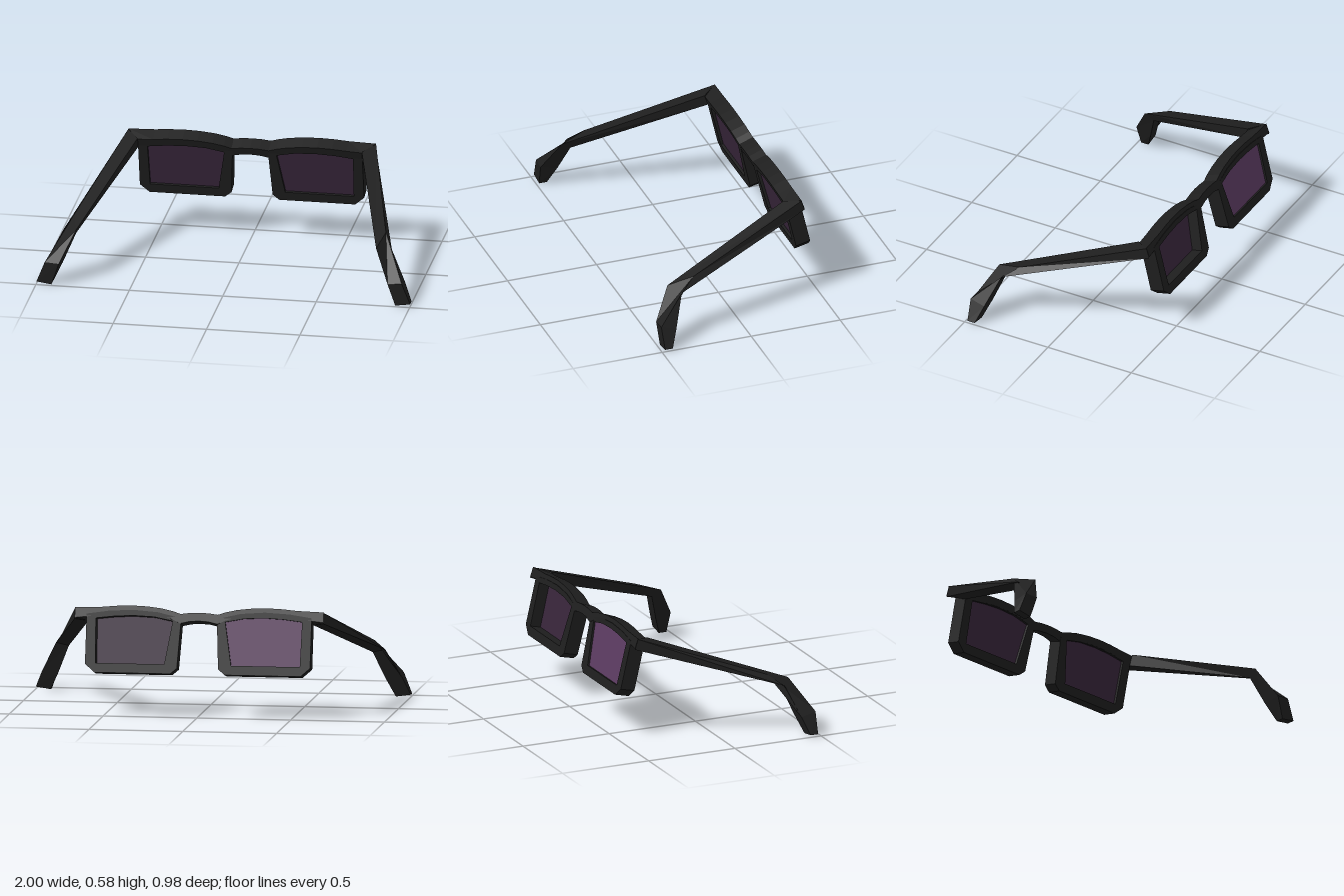
import * as THREE from 'three';

function flatColour(name, color) {
  const material = new THREE.MeshStandardMaterial({ color });
  material.name = name;
  return material;
}
const frameMat = flatColour('black frame', 0x1e1e1e);
const innerLensMat = flatColour('dark purple lens', 0x37253a);
const outerLensMat = flatColour('purple lens', 0x5b3b60);

// Joins four-cornered sections into a closed, faceted solid
function loft(sections) {
  const pos = [];
  const tri = (a, b, c) => pos.push(...a, ...b, ...c);
  for (let i = 0; i < sections.length - 1; i++) {
    const a = sections[i], b = sections[i + 1];
    for (let j = 0; j < 4; j++) {
      const k = (j + 1) % 4;
      tri(a[j], b[j], a[k]);
      tri(b[j], b[k], a[k]);
    }
  }
  const s = sections[0], e = sections[sections.length - 1];
  tri(s[0], s[1], s[2]);
  tri(s[0], s[2], s[3]);
  tri(e[2], e[1], e[0]);
  tri(e[3], e[2], e[0]);
  const g = new THREE.BufferGeometry();
  g.setAttribute('position', new THREE.Float32BufferAttribute(pos, 3));
  g.computeVertexNormals();
  return g;
}

function add(parent, name, geometry, material) {
  const mesh = new THREE.Mesh(geometry, material);
  mesh.name = name;
  parent.add(mesh);
}

// Straight extrusion whose inner face lies at the given z
function slab(shape, depth, z) {
  const g = new THREE.ExtrudeGeometry(shape, { depth, bevelEnabled: false });
  return g.translate(0, 0, z - depth);
}

// Brow bar: x, top and bottom height of the side nearest the temples
const browHalf = [
  [0, 0.52, 0.48], [0.05, 0.518, 0.477], [0.1, 0.512, 0.466], [0.14, 0.525, 0.485],
  [0.2, 0.538, 0.502], [0.28, 0.547, 0.51], [0.36, 0.55, 0.512], [0.44, 0.547, 0.508],
  [0.52, 0.54, 0.5], [0.6, 0.535, 0.485],
];

function browSection([x, top, bottom]) {
  const z = (y) => -0.325 - (0.55 - y) * 0.354;
  const outerX = Math.abs(x) === 0.6 ? Math.sign(x) * 0.663 : x; // mitred ends
  return [
    [x, top, z(top)],
    [outerX, top + 0.028, z(top) - 0.077],
    [outerX, bottom + 0.026, z(bottom) - 0.077],
    [x, bottom, z(bottom)],
  ];
}

// Temple sections: outer top, outer bottom, inner bottom, inner top
const templeSections = [
  [[0.663, 0.56, -0.407], [0.663, 0.505, -0.425], [0.6, 0.485, -0.348], [0.6, 0.542, -0.328]],
  [[0.832, 0.325, 0.262], [0.878, 0.263, 0.345], [0.81, 0.248, 0.348], [0.803, 0.282, 0.398]],
  [[0.955, 0.125, 0.488], [0.96, 0.105, 0.405], [0.872, 0.1, 0.4], [0.88, 0.12, 0.49]],
  [[1, 0.012, 0.483], [1, 0.012, 0.44], [0.92, 0, 0.44], [0.92, 0, 0.483]],
];

// Rim outline and opening, in the tilted plane of the lens
const rimOutline = [
  [0.55, 0], [0.6, 0.045], [0.6, 0.31], [0.48, 0.328], [0.35, 0.335],
  [0.22, 0.325], [0.095, 0.295], [0.11, 0.03], [0.145, 0],
];
const opening = [
  [0.545, 0.05], [0.55, 0.288], [0.45, 0.3], [0.35, 0.305], [0.24, 0.3], [0.14, 0.28], [0.178, 0.05],
];

function createSide(side) {
  const group = new THREE.Group();
  group.name = side > 0 ? 'leftSide' : 'rightSide';

  // Tilted rim; mirrored outlines are reversed to keep their direction
  const points = (list) => {
    const mirrored = list.map(([x, y]) => new THREE.Vector2(side * x, y));
    return side > 0 ? mirrored : mirrored.reverse();
  };
  const eyepiece = new THREE.Group();
  eyepiece.name = 'eyepiece';
  eyepiece.position.set(0, 0.212, -0.41);
  eyepiece.rotation.x = 0.228;
  group.add(eyepiece);
  const rimShape = new THREE.Shape(points(rimOutline));
  rimShape.holes.push(new THREE.Path(points(opening)));
  add(eyepiece, 'rim', slab(rimShape, 0.081, 0), frameMat);

  // Dark lens near the wearer, and a lighter outer pane on the right eye
  const lensShape = new THREE.Shape(points(opening));
  add(eyepiece, 'lens', slab(lensShape, 0.006, -0.015), innerLensMat);
  if (side < 0) add(eyepiece, 'outerLens', slab(lensShape, 0.006, -0.064), outerLensMat);

  // Temple arm with its bent, splayed tip
  const sections = side > 0 ? templeSections
    : templeSections.map((s) => s.map(([x, y, z]) => [-x, y, z]).reverse());
  add(group, 'temple', loft(sections), frameMat);
  return group;
}

export function createModel() {
  const model = new THREE.Group();
  model.name = 'sunglasses';
  const mirrored = browHalf.slice(1).reverse().map(([x, t, b]) => [-x, t, b]);
  add(model, 'browBar', loft([...mirrored, ...browHalf].map(browSection)), frameMat);
  for (const side of [1, -1]) model.add(createSide(side));
  return model;
}
